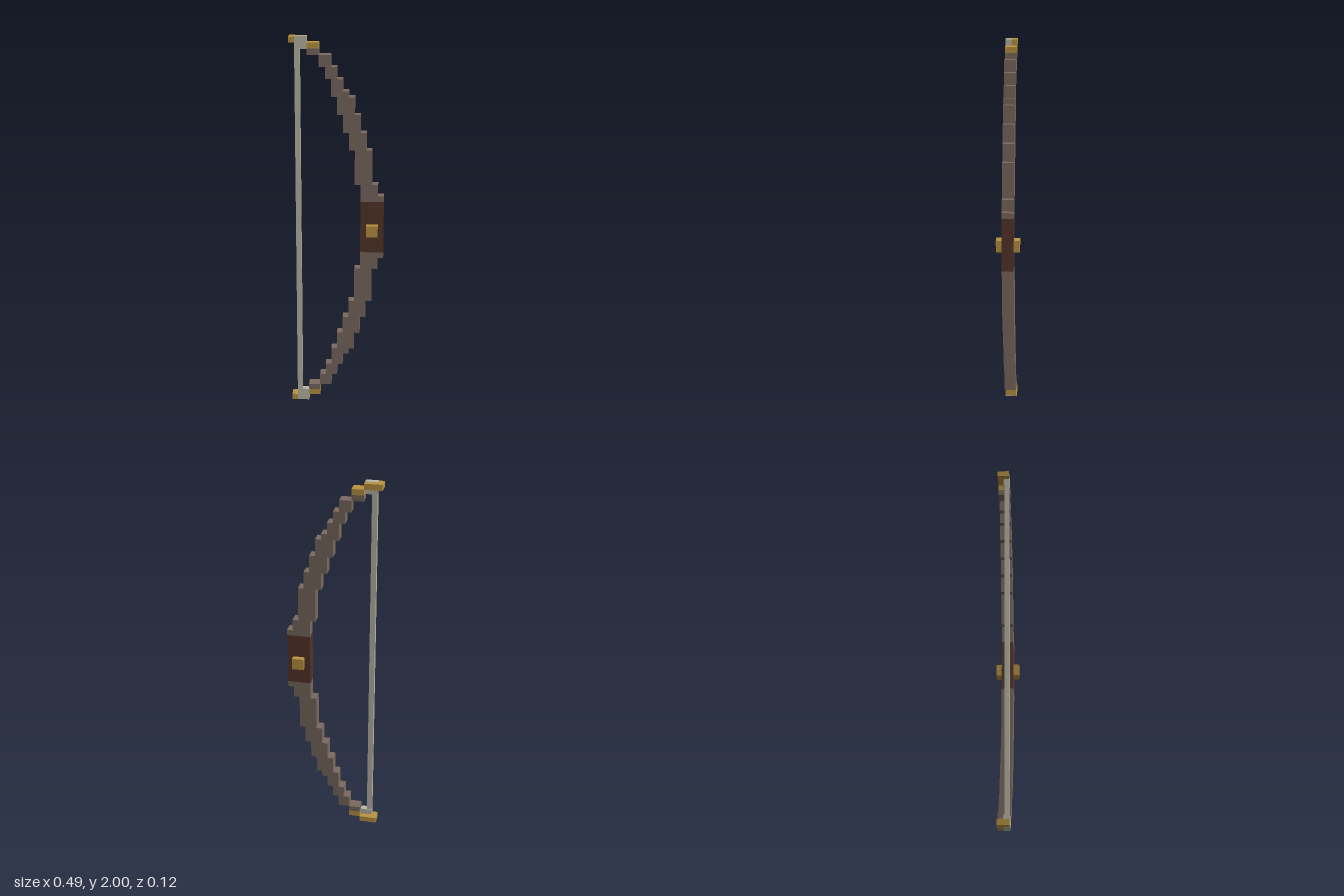
import * as THREE from 'three';
import { mergeGeometries } from 'three/addons/utils/BufferGeometryUtils.js';

const U = 2 / 65; // one block
const MID = 32.5; // middle row of the bow

const mat = (name, color) => {
  const m = new THREE.MeshStandardMaterial({ color });
  m.name = name;
  return m;
};

// Box given by its limits in block units, with optional growth in model units
function block(x0, x1, y0, y1, z0 = -1, z1 = 1, grow = 0) {
  const g = new THREE.BoxGeometry((x1 - x0) * U + grow, (y1 - y0) * U + grow, (z1 - z0) * U + grow);
  return g.translate(((x0 + x1) / 2) * U, ((y0 + y1) / 2) * U, ((z0 + z1) / 2) * U);
}

// Stepped bands of the upper limb: left, right, bottom row, top row
const LIMB = [
  [4, 8, 37, 38], [4, 7, 38, 40], [3, 6, 40, 46], [2, 5, 46, 49],
  [1, 4, 49, 52], [0, 3, 52, 55], [-1, 2, 55, 56], [-1, 1, 56, 58],
  [-2, 0, 58, 60], [-3, -1, 60, 62], [-5, -3, 62, 63],
];
const TIP = [[-5, -3, 63, 64], [-8, -5, 64, 65]];

export function createModel() {
  const wood = mat('wood', 0x7b6a60);
  const gold = mat('gold', 0xbb9540);
  const leather = mat('leather', 0x55352a);
  const cord = mat('cord', 0xbcb8a8);

  const bow = new THREE.Group();
  bow.name = 'bow';
  const add = (name, geometry, material) => {
    const mesh = new THREE.Mesh(geometry, material);
    mesh.name = name;
    bow.add(mesh);
  };

  // Both halves, the lower one mirrored about the middle row
  for (const [side, lower] of [['upper', false], ['lower', true]]) {
    const rows = (a, b) => (lower ? [2 * MID - b, 2 * MID - a] : [a, b]);
    const build = (bands) => mergeGeometries(
      bands.map(([x0, x1, y0, y1]) => block(x0, x1, ...rows(y0, y1))));
    add(side + 'Limb', build(LIMB), wood);
    add(side + 'Tip', build(TIP), gold);
    // String loop set into the front half of the tip
    add(side + 'StringLoop', block(-6.8, -5, ...rows(63, 65), 0, 1, 0.002), cord);
  }

  // Grip with a stud through it
  add('grip', block(4, 8, 28, 37), leather);
  add('gripStud', block(5, 7, 31, 33, -2, 2), gold);

  // Bowstring
  add('bowstring', block(-7, -6.15, 0, 65, 0.2, 1, 0.002), cord);

  return bow;
}
